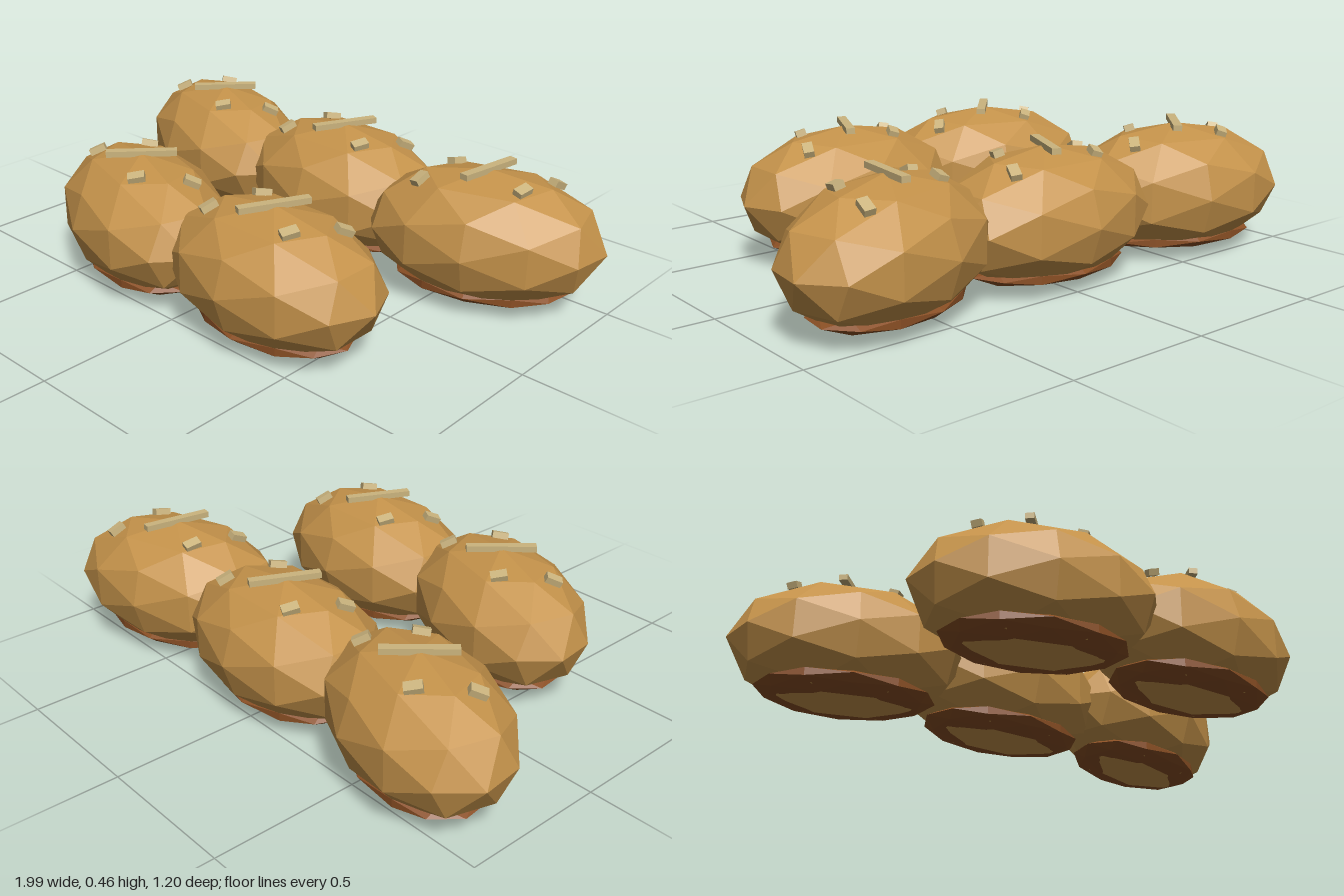
import * as THREE from 'three';

export function createModel() {
  const model = new THREE.Group();
  model.name = 'breadRolls';

  const mat = (name, color) => {
    const m = new THREE.MeshStandardMaterial({ color, flatShading: true });
    m.name = name;
    return m;
  };
  const crust = mat('golden crust', 0xc4924a);
  const baked = mat('dark baked base', 0x8a4f24);
  const oat = mat('pale oat', 0xcbb47e);

  const RX = 0.403, RY = 0.225, RZ = 0.258;
  const grain = 1.13; // shared direction of the score and flakes
  const ball = new THREE.IcosahedronGeometry(1, 1);
  const scoreGeo = new THREE.BoxGeometry(0.235, 0.02, 0.03);
  const flakeGeo = new THREE.BoxGeometry(0.055, 0.022, 0.034);
  const flakes = [[-0.135, -0.087], [0.205, -0.087], [-0.205, 0.077], [0.135, 0.077]];
  const up = new THREE.Vector3(0, 1, 0);

  function makeRoll() {
    const roll = new THREE.Group();
    const add = (name, geo, material, x, y, z) => {
      const m = new THREE.Mesh(geo, material);
      m.name = name;
      m.position.set(x, y, z);
      roll.add(m);
      return m;
    };
    // faceted loaf and the flattened dark base around its underside
    add('loaf', ball, crust, 0, RY, 0).scale.set(RX, RY, RZ);
    add('base', ball, baked, 0, RY * 0.3, 0).scale.set(RX * 0.75, RY * 0.2, RZ * 0.75);
    // long strip across the top
    add('topStrip', scoreGeo, oat, 0, 0.45, 0).rotation.y = grain;
    // small flakes lying along the curved top
    for (const [x, z] of flakes) {
      const h = Math.sqrt(1 - (x / RX) ** 2 - (z / RZ) ** 2);
      const flake = add('flake', flakeGeo, oat, x, RY + RY * h, z);
      const normal = new THREE.Vector3(x / RX ** 2, h / RY, z / RZ ** 2).normalize();
      flake.quaternion.setFromUnitVectors(up, normal);
      flake.rotateY(grain);
    }
    return roll;
  }

  // three rolls behind, two in front: x, z, turn
  const layout = [
    [-0.61, -0.34, -0.3], [0, -0.34, 0], [0.61, -0.34, 0.3],
    [-0.305, 0.34, -0.3], [0.305, 0.34, 0],
  ];
  layout.forEach(([x, z, turn], i) => {
    const roll = makeRoll();
    roll.name = 'roll' + (i + 1);
    roll.position.set(x, 0, z);
    roll.rotation.y = turn;
    model.add(roll);
  });
  return model;
}
